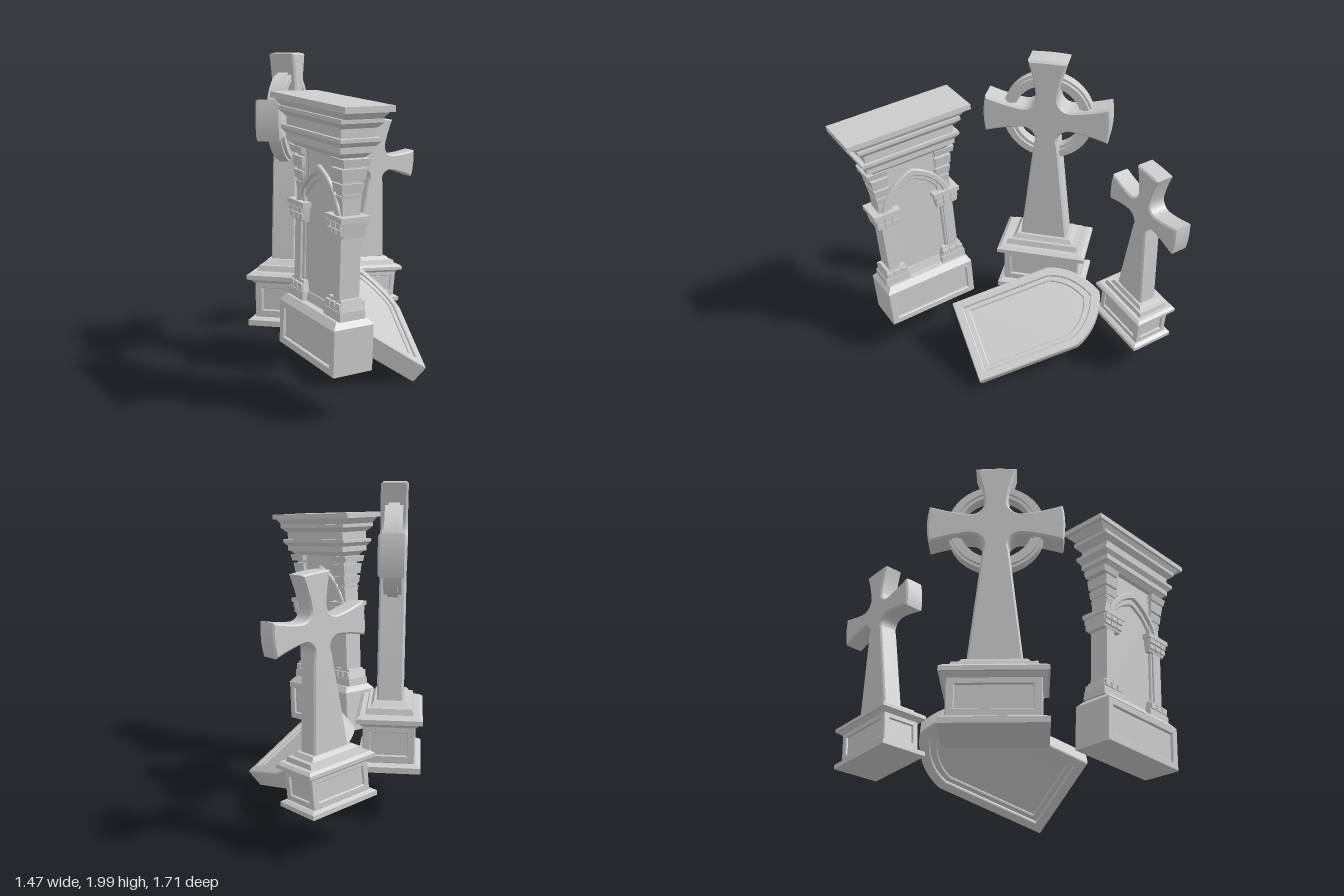
import * as THREE from 'three';
import { toCreasedNormals } from 'three/addons/utils/BufferGeometryUtils.js';

const stone = new THREE.MeshStandardMaterial({ color: 0xcccccc });
stone.name = 'grey stone';

function add(parent, name, geometry) {
  const mesh = new THREE.Mesh(geometry, stone);
  mesh.name = name;
  parent.add(mesh);
  return mesh;
}

// Block from y0 to y1 with half sizes w, d at the bottom and w1, d1 at the top
function block(parent, name, x, y0, y1, w, d, w1 = w, d1 = d, z = 0) {
  const g = new THREE.BoxGeometry(2, 1, 2);
  const p = g.attributes.position;
  for (let i = 0; i < p.count; i++) {
    const top = p.getY(i) > 0;
    p.setXYZ(i, x + p.getX(i) * (top ? w1 : w), top ? y1 : y0, z + p.getZ(i) * (top ? d1 : d));
  }
  g.computeVertexNormals();
  return add(parent, name, g);
}

// Outline extruded evenly to both sides of z = 0, with a chamfered edge
function plate(parent, name, shape, depth, bevel) {
  const g = new THREE.ExtrudeGeometry(shape, {
    depth: depth - 2 * bevel, curveSegments: 10, bevelEnabled: bevel > 0,
    bevelSize: bevel, bevelThickness: bevel, bevelOffset: -bevel, bevelSegments: 1,
  });
  g.translate(0, 0, bevel - depth / 2);
  return add(parent, name, toCreasedNormals(g, 0.5));
}

function rect(w, y0, y1) {
  return new THREE.Shape([[-w, y0], [w, y0], [w, y1], [-w, y1]].map(([x, y]) => new THREE.Vector2(x, y)));
}

function framed(outer, inner) {
  outer.holes.push(inner);
  return outer;
}

// Raised panel border on two opposite faces, at the given distance from the middle
function borders(parent, name, w, y0, y1, rim, distance, turn) {
  for (const s of [-1, 1]) {
    const m = plate(parent, name, framed(rect(w, y0, y1), rect(w - rim, y0 + rim, y1 - rim)), 0.024, 0.004);
    m.rotation.y = turn;
    m.position.set(Math.sin(turn) * s * distance, 0, Math.cos(turn) * s * distance);
  }
}

// Pointed arch curve, over the peak from right to left
function archCurve(s, w, spring, peak) {
  const cy = spring + (peak - spring) * 0.72;
  s.lineTo(w, spring);
  s.quadraticCurveTo(w * 0.75, cy, 0, peak);
  s.quadraticCurveTo(-w * 0.75, cy, -w, spring);
}

function archShape(w, bottom, spring, peak) {
  const s = new THREE.Shape();
  s.moveTo(-w, bottom);
  s.lineTo(w, bottom);
  archCurve(s, w, spring, peak);
  s.closePath();
  return s;
}

// Arch moulding with open feet
function archBand(w, peak, inW, inPeak, bottom, spring) {
  const s = new THREE.Shape();
  const cy = spring + (inPeak - spring) * 0.72;
  s.moveTo(w, bottom);
  archCurve(s, w, spring, peak);
  s.lineTo(-w, bottom);
  s.lineTo(-inW, bottom);
  s.lineTo(-inW, spring);
  s.quadraticCurveTo(-inW * 0.75, cy, 0, inPeak);
  s.quadraticCurveTo(inW * 0.75, cy, inW, spring);
  s.lineTo(inW, bottom);
  s.closePath();
  return s;
}

// Flared cross on a tapering shaft; centre of the arms at (0, cy)
function crossShape(y0, cy) {
  const s = new THREE.Shape();
  const n = 0.07, c = 0.15, len = 0.412, tip = 0.123;
  s.moveTo(-0.157, y0);
  s.lineTo(0.157, y0);
  s.lineTo(n + 0.008, cy - c - 0.03);
  s.absarc(c, cy - c, c - n, Math.PI, Math.PI / 2, true);
  s.quadraticCurveTo(0.24, cy - n - 0.005, len - 0.02, cy - tip);
  s.quadraticCurveTo(len + 0.004, cy, len - 0.02, cy + tip);
  s.quadraticCurveTo(0.24, cy + n + 0.005, c, cy + n);
  s.absarc(c, cy + c, c - n, -Math.PI / 2, -Math.PI, true);
  s.quadraticCurveTo(n + 0.005, cy + 0.24, tip, cy + 0.39);
  s.quadraticCurveTo(0, cy + 0.4, -tip, cy + 0.39);
  s.quadraticCurveTo(-n - 0.005, cy + 0.24, -n, cy + c);
  s.absarc(-c, cy + c, c - n, 0, -Math.PI / 2, true);
  s.quadraticCurveTo(-0.24, cy + n + 0.005, -len + 0.02, cy + tip);
  s.quadraticCurveTo(-len - 0.004, cy, -len + 0.02, cy - tip);
  s.quadraticCurveTo(-0.24, cy - n - 0.005, -c, cy - n);
  s.absarc(-c, cy - c, c - n, Math.PI / 2, 0, true);
  s.lineTo(-n - 0.008, cy - c - 0.03);
  s.closePath();
  return s;
}

function crossStone(name, ringed) {
  const g = new THREE.Group();
  g.name = name;
  // Stepped pedestal
  block(g, 'plinth', 0, 0, 0.035, 0.295, 0.19);
  block(g, 'plinthSlope', 0, 0.035, 0.05, 0.295, 0.19, 0.268, 0.163);
  block(g, 'pedestalBody', 0, 0.05, 0.28, 0.24, 0.136);
  block(g, 'ledgeUnderside', 0, 0.27, 0.295, 0.262, 0.157, 0.285, 0.18);
  block(g, 'ledge', 0, 0.295, 0.322, 0.298, 0.195);
  block(g, 'ledgeChamfer', 0, 0.322, 0.34, 0.298, 0.195, 0.275, 0.172);
  block(g, 'lowerStep', 0, 0.34, 0.375, 0.245, 0.142, 0.235, 0.131);
  block(g, 'upperStep', 0, 0.375, 0.405, 0.205, 0.112, 0.18, 0.095);
  borders(g, 'longPanelBorder', 0.256, 0.05, 0.28, 0.045, 0.142, 0);
  borders(g, 'endPanelBorder', 0.152, 0.05, 0.28, 0.045, 0.246, Math.PI / 2);
  plate(g, 'cross', crossShape(0.395, ringed ? 1.29 : 1.275), 0.158, 0.012);
  if (ringed) {
    // Ring with a raised middle band
    const half = [[0.29, 0.032], [0.275, 0.032], [0.275, 0.052], [0.235, 0.052], [0.235, 0.035], [0.215, 0.035]];
    const pts = [...half.map(([r, y]) => [r, -y]).reverse(), ...half, [0.215, -0.035]];
    const ring = add(g, 'ring', toCreasedNormals(
      new THREE.LatheGeometry(pts.map(([r, y]) => new THREE.Vector2(r, y)), 48), 0.6));
    ring.rotation.x = Math.PI / 2;
    ring.position.y = 1.29;
  }
  return g;
}

function pillaredStone() {
  const g = new THREE.Group();
  g.name = 'pillaredMonument';
  // Base with chamfered top and bordered panels
  block(g, 'base', 0, 0, 0.265, 0.311, 0.107);
  block(g, 'baseChamfer', 0, 0.265, 0.3, 0.311, 0.125, 0.28, 0.095);
  borders(g, 'basePanelBorder', 0.311, 0, 0.266, 0.045, 0.113, 0);
  // Recessed wall, sill and upper wall
  block(g, 'wall', 0, 0.29, 1.2, 0.22, 0.035);
  block(g, 'sill', 0, 0.3, 0.35, 0.19, 0.055, 0.19, 0.042);
  block(g, 'upperWall', 0, 1.025, 1.2, 0.16, 0.05);
  // Arch mouldings in two steps
  plate(g, 'outerArch', archBand(0.235, 1.1, 0.195, 1.055, 0.855, 0.87), 0.14, 0.006);
  plate(g, 'innerArch', archBand(0.2, 1.06, 0.168, 1.015, 0.34, 0.87), 0.1, 0.006);
  for (const s of [-1, 1]) {
    block(g, 'pillar', s * 0.218, 0.4, 0.78, 0.034, 0.062);
    // Flared foot and capital with raised tiles
    block(g, 'pillarFoot', s * 0.206, 0.3, 0.35, 0.087, 0.08, 0.085, 0.078);
    block(g, 'pillarFootTop', s * 0.206, 0.35, 0.41, 0.081, 0.074, 0.066, 0.062);
    block(g, 'capital', s * 0.208, 0.75, 0.835, 0.07, 0.066, 0.08, 0.076);
    block(g, 'capitalTop', s * 0.208, 0.835, 0.865, 0.09, 0.088);
    for (const f of [-1, 1]) for (let i = -1; i <= 1; i++) {
      block(g, 'footTile', s * 0.206 + i * 0.052, 0.358, 0.395, 0.022, 0.008, 0.02, 0.008, f * 0.072);
      block(g, 'capitalTile', s * 0.208 + i * 0.05, 0.765, 0.795, 0.021, 0.008, 0.021, 0.008, f * 0.073);
      block(g, 'capitalTile', s * 0.208 + i * 0.052, 0.802, 0.832, 0.022, 0.008, 0.022, 0.008, f * 0.078);
    }
    // Stepped bracket under the cornice
    block(g, 'upperPillar', s * 0.205, 0.865, 1.2, 0.045, 0.056);
    [[0.93, 0.97, 0.252], [0.985, 1.035, 0.262], [1.05, 1.115, 0.272], [1.13, 1.17, 0.295]].forEach(
      ([a, b, edge], i) => block(g, 'bracketStep', s * (edge + 0.16) / 2, a, b,
        (edge - 0.16) / 2 - 0.006, 0.058 + i * 0.006, (edge - 0.16) / 2, 0.064 + i * 0.007));
  }
  // Cornice: bottom, top, half width and half depth at both ends
  [
    [1.17, 1.2, 0.25, 0.075, 0.28, 0.095],
    [1.2, 1.235, 0.295, 0.104, 0.295, 0.104],
    [1.235, 1.26, 0.3, 0.106, 0.325, 0.122],
    [1.26, 1.28, 0.325, 0.122, 0.325, 0.122],
    [1.28, 1.33, 0.295, 0.103, 0.295, 0.103],
    [1.33, 1.36, 0.305, 0.105, 0.338, 0.13],
    [1.36, 1.382, 0.338, 0.13, 0.338, 0.13],
    [1.382, 1.42, 0.345, 0.115, 0.38, 0.135],
    [1.42, 1.453, 0.405, 0.15, 0.405, 0.15],
  ].forEach(([a, b, ...sizes]) => block(g, 'cornice', 0, a, b, ...sizes));
  return g;
}

function fallenStone() {
  const g = new THREE.Group();
  g.name = 'fallenHeadstone';
  plate(g, 'slab', archShape(0.265, 0.01, 0.67, 0.93), 0.07, 0);
  plate(g, 'outerRim', framed(archShape(0.278, -0.005, 0.675, 0.94), archShape(0.222, 0.055, 0.66, 0.872)), 0.128, 0.006);
  plate(g, 'innerRim', framed(archShape(0.225, 0.05, 0.66, 0.876), archShape(0.19, 0.09, 0.645, 0.825)), 0.095, 0.006);
  return g;
}

export function createModel() {
  const model = new THREE.Group();
  model.name = 'gravestones';

  const ringCross = crossStone('ringedCross', true);
  ringCross.position.set(-0.357, 0.315, -0.468);
  ringCross.rotation.y = Math.PI / 4;

  const smallCross = crossStone('smallCross', false);
  smallCross.scale.setScalar(0.77);
  smallCross.position.set(0.33, 0.273, -0.713);
  smallCross.rotation.set(0.025, 0, -0.092);

  const monument = pillaredStone();
  monument.position.set(-0.585, 0.313, 0.36);
  monument.rotation.set(0.062, -Math.PI / 2, 0);

  // The fallen stone leans back, twisted on one corner
  const fallen = fallenStone();
  const up = new THREE.Vector3(0.326, 0.296, -0.896).normalize();
  const out = new THREE.Vector3(0.815, -0.57, 0.1).cross(up).normalize();
  const side = new THREE.Vector3().crossVectors(up, out);
  fallen.quaternion.setFromRotationMatrix(new THREE.Matrix4().makeBasis(side, up, out));
  fallen.position.set(-0.123, 0.212, 0.298);

  model.add(ringCross, smallCross, monument, fallen);
  return model;
}
